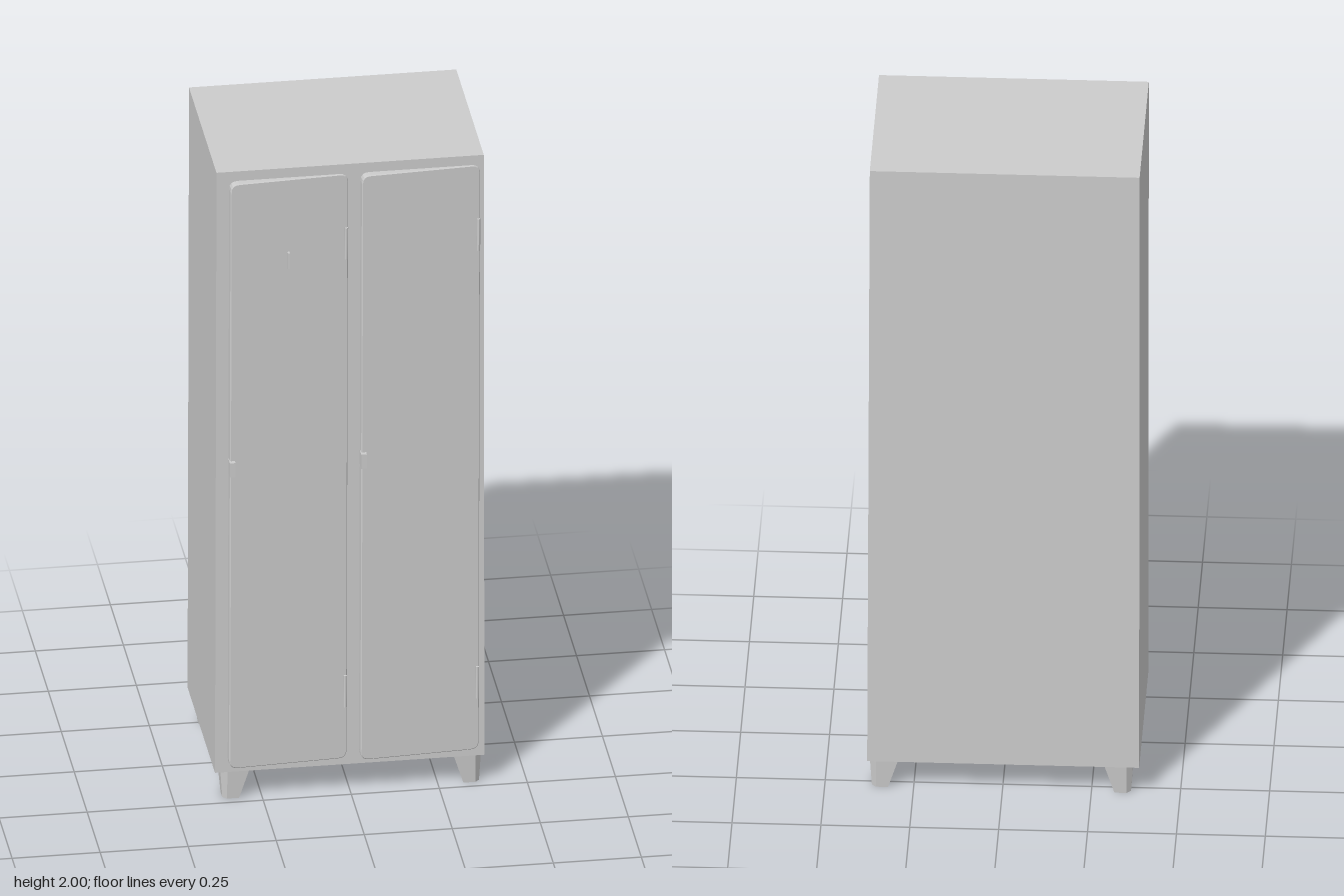
import * as THREE from 'three';

const material = new THREE.MeshStandardMaterial({ color: 0xcccccc, side: THREE.DoubleSide });
const BASE = 0.09, TOP = 2, LEFT = -0.385, RIGHT = 0.38, HALF_DEPTH = 0.265;

// The worn cabinet leans: everything slides back towards the base
function lean(geometry) {
  const p = geometry.attributes.position;
  for (let i = 0; i < p.count; i++) {
    const t = THREE.MathUtils.clamp((p.getY(i) - BASE) / (TOP - BASE), 0, 1);
    p.setZ(i, p.getZ(i) - 0.028 * (1 - t));
    if (p.getX(i) > 0.378) p.setX(i, p.getX(i) - 0.006 * t);
  }
  geometry.computeVertexNormals();
  return geometry;
}

function add(group, name, geometry) {
  const mesh = new THREE.Mesh(lean(geometry), material);
  mesh.name = name;
  group.add(mesh);
}

function box(x0, x1, y0, y1, z0, z1) {
  return new THREE.BoxGeometry(x1 - x0, y1 - y0, z1 - z0)
    .translate((x0 + x1) / 2, (y0 + y1) / 2, (z0 + z1) / 2);
}

// Round-cornered door panel, hinged on its right edge and slightly sprung open
function doorPanel(hingeX, width, y0, y1) {
  const r = 0.025, s = new THREE.Shape();
  s.moveTo(-width + r, y0).lineTo(-r, y0).quadraticCurveTo(0, y0, 0, y0 + r);
  s.lineTo(0, y1 - r).quadraticCurveTo(0, y1, -r, y1);
  s.lineTo(-width + r, y1).quadraticCurveTo(-width, y1, -width, y1 - r);
  s.lineTo(-width, y0 + r).quadraticCurveTo(-width, y0, -width + r, y0);
  return new THREE.ExtrudeGeometry(s, {
    depth: 0.024, bevelEnabled: true, bevelThickness: 0.003, bevelSize: 0.003,
    bevelOffset: -0.003, bevelSegments: 1, curveSegments: 4,
  }).rotateY(0.06).translate(hingeX, 0, HALF_DEPTH - 0.025);
}

// Folded sheet foot: an angle section that tapers towards the floor
function footGeometry(x, z, sx, sz) {
  const section = (w, c, inset, y) => [[w, inset], [c, inset], [inset, c], [inset, w]]
    .map(([a, b]) => [x + sx * a, y, z + sz * b]);
  const upper = section(0.085, 0.022, 0.004, BASE + 0.002);
  const lower = section(0.056, 0.022, 0.01, 0);
  const points = [];
  for (let i = 0; i < 3; i++) {
    const quad = [upper[i], lower[i], lower[i + 1], upper[i], lower[i + 1], upper[i + 1]];
    if (sx * sz < 0) quad.reverse();
    points.push(...quad.flat());
  }
  const g = new THREE.BufferGeometry();
  g.setAttribute('position', new THREE.Float32BufferAttribute(points, 3));
  return g;
}

export function createModel() {
  const model = new THREE.Group();
  model.name = 'lockerCabinet';

  add(model, 'cabinetBody', box(LEFT, RIGHT, BASE, TOP, -HALF_DEPTH, HALF_DEPTH));

  // Two doors with hinge knuckles and latch
  const doors = [['right', -0.012, 0.338], ['left', 0.363, 0.34]];
  for (const [side, hingeX, width] of doors) {
    const free = hingeX - width;
    add(model, side + 'Door', doorPanel(hingeX, width, 0.11, 1.97));
    for (const y of [0.325, 1.75]) {
      add(model, side + 'Hinge', new THREE.CylinderGeometry(0.005, 0.005, 0.1, 8)
        .translate(hingeX - 0.004, y, HALF_DEPTH + 0.004));
    }
    add(model, side + 'Latch', box(free, free + 0.016, 1.045, 1.09, 0.27, 0.3));
  }

  // Small card clip on the right door
  add(model, 'cardClip', box(-0.185, -0.179, 1.69, 1.74, 0.27, 0.288));

  // Four tapered feet at the corners
  for (const sx of [1, -1]) {
    for (const sz of [1, -1]) {
      const x = sx > 0 ? LEFT + 0.014 : RIGHT - 0.002;
      add(model, 'foot', footGeometry(x, -sz * (HALF_DEPTH - 0.002), sx, sz));
    }
  }
  return model;
}
